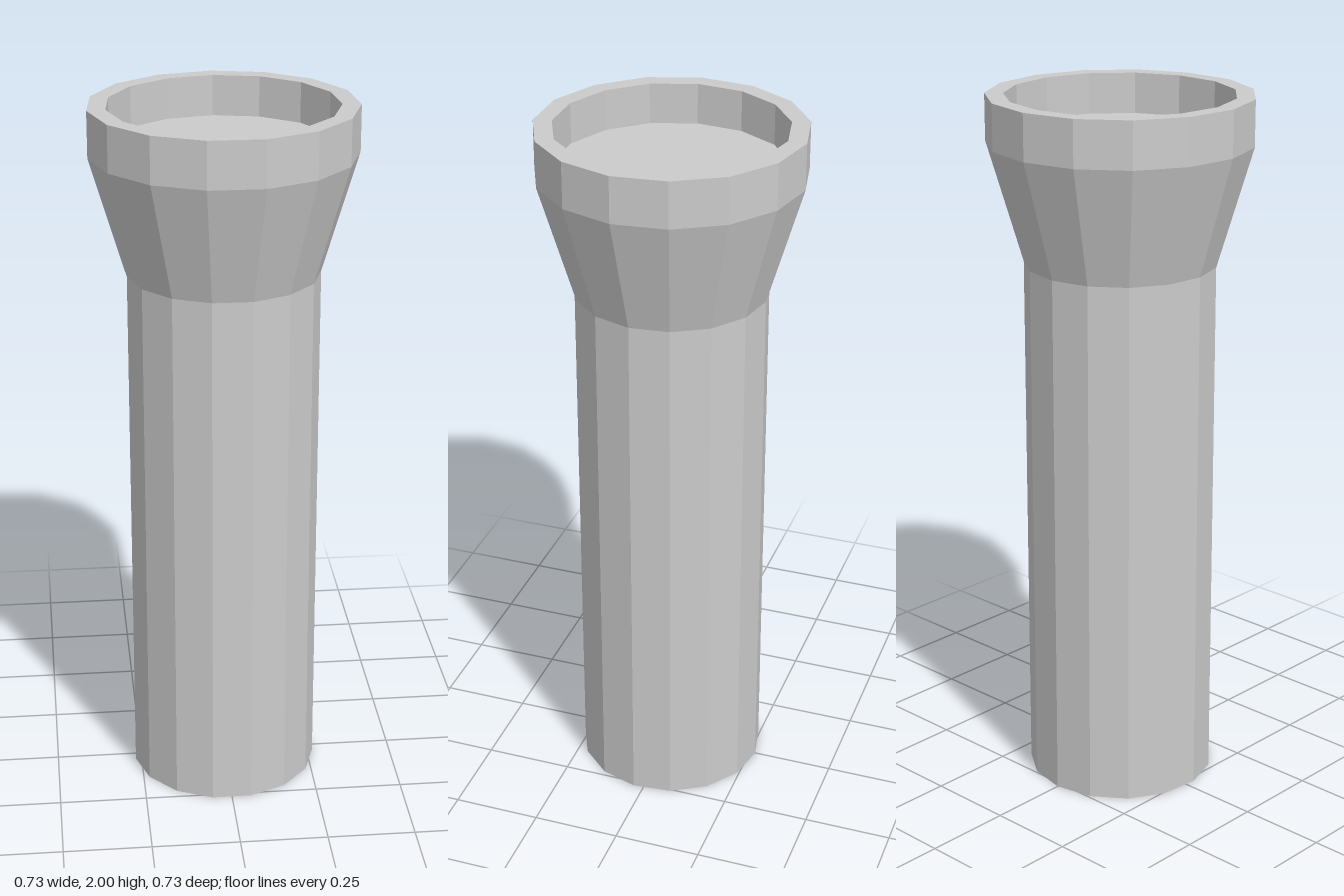
import * as THREE from 'three';

const SIDES = 15;

export function createModel() {
  const model = new THREE.Group();
  model.name = 'flashlight';
  const material = new THREE.MeshStandardMaterial({ color: 0xcccccc, flatShading: true });

  const add = (name, geometry) => {
    const mesh = new THREE.Mesh(geometry, material);
    mesh.name = name;
    mesh.position.z = 0.002; // odd side count: centre the bounds
    model.add(mesh);
    return mesh;
  };

  // Faceted turned part with one corner pointing to the back
  const turned = (profile) => new THREE.LatheGeometry(
    profile.map(([r, y]) => new THREE.Vector2(r, y)), SIDES, Math.PI);

  // Straight handle with a closed bottom
  add('handle', turned([[0, 0], [0.269, 0], [0.269, 1.532]]));

  // Flared head, flat rim and the recess wall inside it
  add('head', turned([[0.269, 1.532], [0.369, 1.87], [0.369, 2], [0.318, 2], [0.318, 1.885]]));

  // Lens at the bottom of the recess
  const lens = new THREE.CircleGeometry(0.318, SIDES, Math.PI / 2).rotateX(-Math.PI / 2);
  add('lens', lens).position.y = 1.885;

  return model;
}
